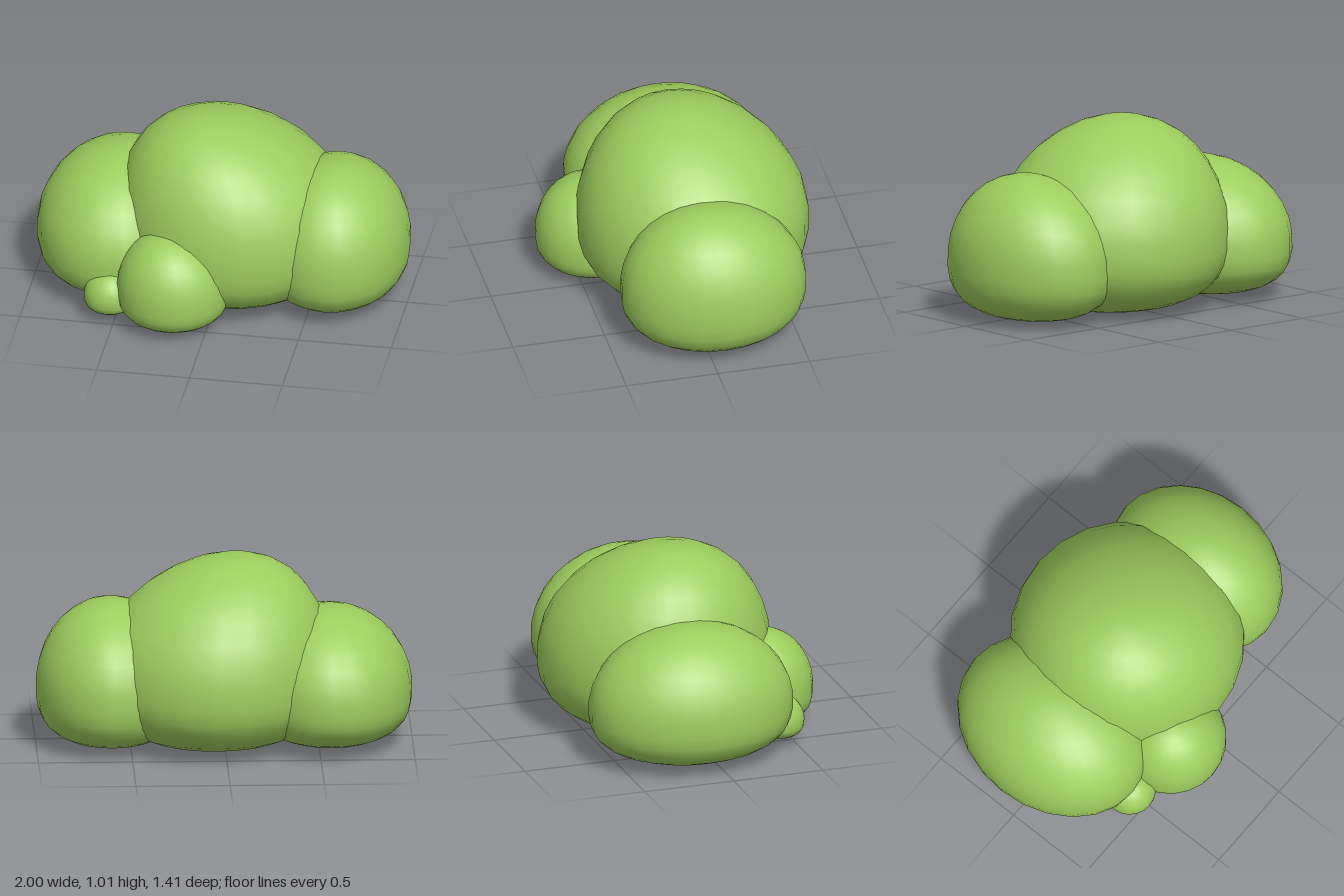
import * as THREE from 'three';
import { mergeVertices } from 'three/addons/utils/BufferGeometryUtils.js';

// Rounded clump: domed above its widest height, squashed flat below it.
// c = [x, widest y, z], r = [x radius, z radius], lean = sideways shift of the top [x, z]
function clumpGeometry({ c, r, top, bottom, lean = [0, 0], n = 2.8, segments = 24 }) {
  let geo = new THREE.SphereGeometry(1, segments, Math.round(segments * 0.7));
  geo.deleteAttribute('uv');
  geo.deleteAttribute('normal');
  geo = mergeVertices(geo, 1e-4);
  const p = geo.attributes.position;
  for (let i = 0; i < p.count; i++) {
    let x = p.getX(i), y = p.getY(i), z = p.getZ(i);
    if (y < 0) {
      // superellipse lower half gives a flat, softly rounded base
      const ring = Math.hypot(x, z);
      const k = ring > 1e-5 ? Math.pow(ring, 2 / n) / ring : 0;
      x *= k;
      z *= k;
      y = -Math.pow(-y, 2 / n);
    }
    const s = y > 0 ? y * y : 0;
    p.setXYZ(
      i,
      c[0] + x * r[0] + lean[0] * s,
      c[1] + y * (y > 0 ? top - c[1] : c[1] - bottom),
      c[2] + z * r[1] + lean[1] * s
    );
  }
  geo.computeVertexNormals();
  return geo;
}

export function createModel() {
  const group = new THREE.Group();
  group.name = 'bush';
  const leaf = new THREE.MeshStandardMaterial({ color: 0x9ccc5c });
  leaf.name = 'leaf green';

  const clumps = {
    mainClump: { c: [0.05, 0.38, -0.087], r: [0.63, 0.623], top: 1.012, bottom: 0, lean: [-0.12, 0.06], n: 2.6 },
    rightClump: { c: [-0.56, 0.3, -0.09], r: [0.44, 0.555], top: 0.742, bottom: 0.02 },
    leftClump: { c: [0.6, 0.32, -0.07], r: [0.4, 0.5], top: 0.778, bottom: 0.012, lean: [0, 0.03] },
    frontClump: { c: [-0.19, 0.21, 0.4], r: [0.302, 0.307], top: 0.53, bottom: 0.02, lean: [-0.02, 0.02], n: 3 },
    smallClump: { c: [-0.53, 0.14, 0.41], r: [0.14, 0.14], top: 0.277, bottom: 0.045, segments: 20 },
  };
  for (const [name, spec] of Object.entries(clumps)) {
    const mesh = new THREE.Mesh(clumpGeometry(spec), leaf);
    mesh.name = name;
    group.add(mesh);
  }
  return group;
}
